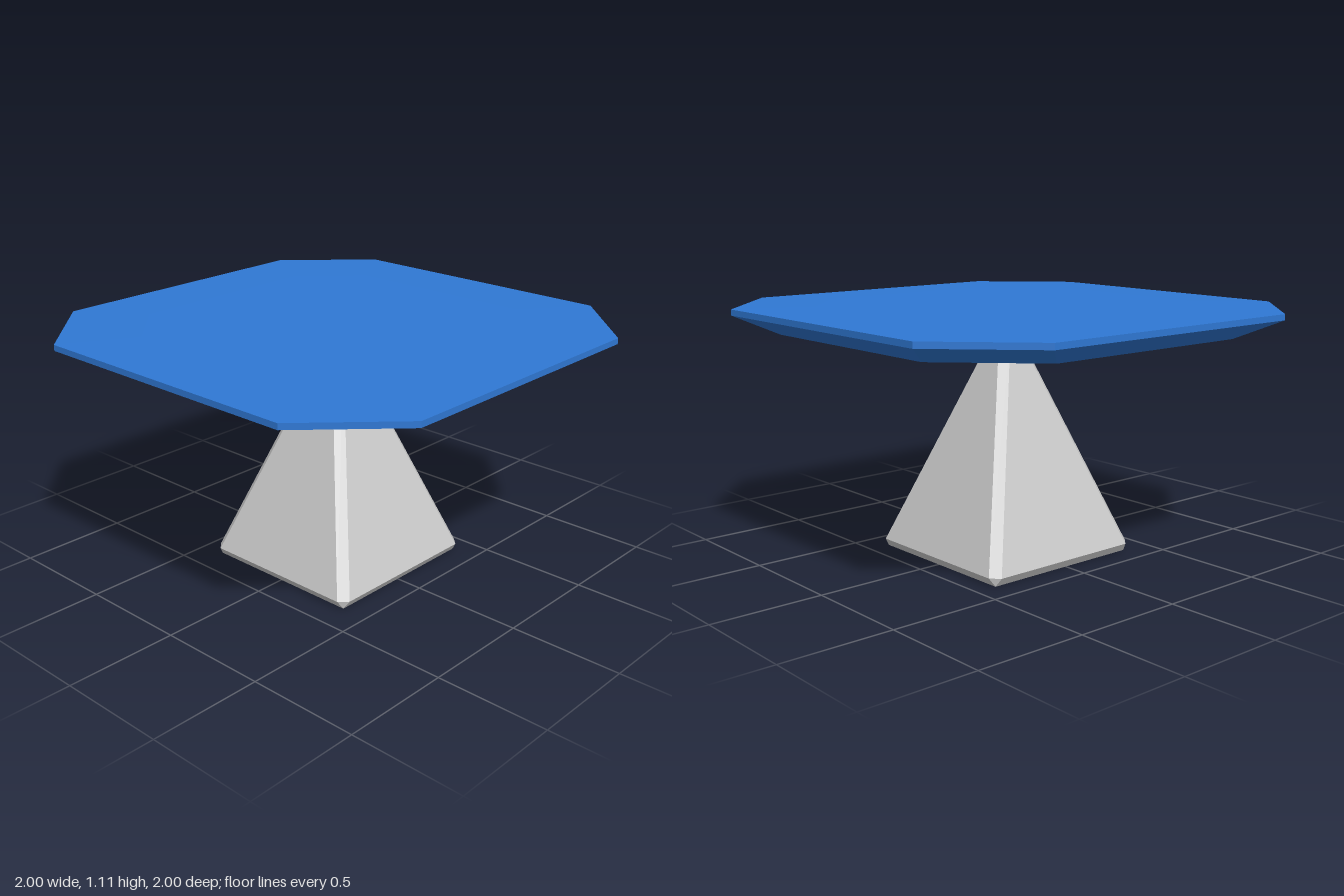
import * as THREE from 'three';

// Corner-cut square: half = half width, flat = half length of the straight side.
// Corners run counter-clockwise seen from above.
function ring({ y, half, flat, x = 0, z = 0 }) {
  const points = [];
  for (let i = 0; i < 4; i++) {
    const c = Math.round(Math.cos(i * Math.PI / 2));
    const s = Math.round(Math.sin(i * Math.PI / 2));
    for (const side of [-flat, flat]) {
      points.push([x + half * c - side * s, y, z - (half * s + side * c)]);
    }
  }
  return points;
}

// Flat-faced solid through a stack of rings, bottom to top, capped at both ends.
function loft(sections) {
  const rings = sections.map(ring);
  const position = [];
  const tri = (a, b, c) => position.push(...a, ...b, ...c);
  const last = rings[rings.length - 1];
  for (let r = 0; r < rings.length - 1; r++) {
    const lo = rings[r], hi = rings[r + 1];
    for (let i = 0; i < 8; i++) {
      const j = (i + 1) % 8;
      const pinched = Math.hypot(lo[i][0] - lo[j][0], lo[i][2] - lo[j][2]) < 1e-6;
      if (!pinched) tri(lo[i], lo[j], hi[j]);
      tri(lo[i], hi[j], hi[i]);
    }
  }
  for (let i = 1; i < 7; i++) {
    tri(rings[0][0], rings[0][i + 1], rings[0][i]);
    tri(last[0], last[i], last[i + 1]);
  }
  const geometry = new THREE.BufferGeometry();
  geometry.setAttribute('position', new THREE.Float32BufferAttribute(position, 3));
  geometry.computeVertexNormals();
  return geometry;
}

export function createModel() {
  const model = new THREE.Group();
  model.name = 'pedestalTable';

  // Octagonal top with a thin rim, bevelled underside and a very slight crown
  const tabletop = new THREE.Mesh(
    loft([
      { y: 0.993, half: 0.5, flat: 0.29 },
      { y: 1.0, half: 0.85, flat: 0.5 },
      { y: 1.08, half: 1, flat: 0.65 },
      { y: 1.106, half: 1, flat: 0.65 },
      { y: 1.112, half: 0.7, flat: 0.455 },
    ]),
    new THREE.MeshStandardMaterial({ color: 0x2f78d4, flatShading: true })
  );
  tabletop.name = 'tabletop';
  model.add(tabletop);

  // Tapered foot with bevelled edges, standing slightly off centre
  const pedestal = new THREE.Mesh(
    loft([
      { y: 0, half: 0.38, flat: 0.38, x: -0.005, z: -0.02 },
      { y: 0.038, half: 0.405, flat: 0.367, x: -0.005, z: -0.02 },
      { y: 1.03, half: 0.04, flat: 0.005, x: -0.015, z: -0.025 },
    ]),
    new THREE.MeshStandardMaterial({ color: 0xcccccc, flatShading: true })
  );
  pedestal.name = 'pedestal';
  model.add(pedestal);

  return model;
}
